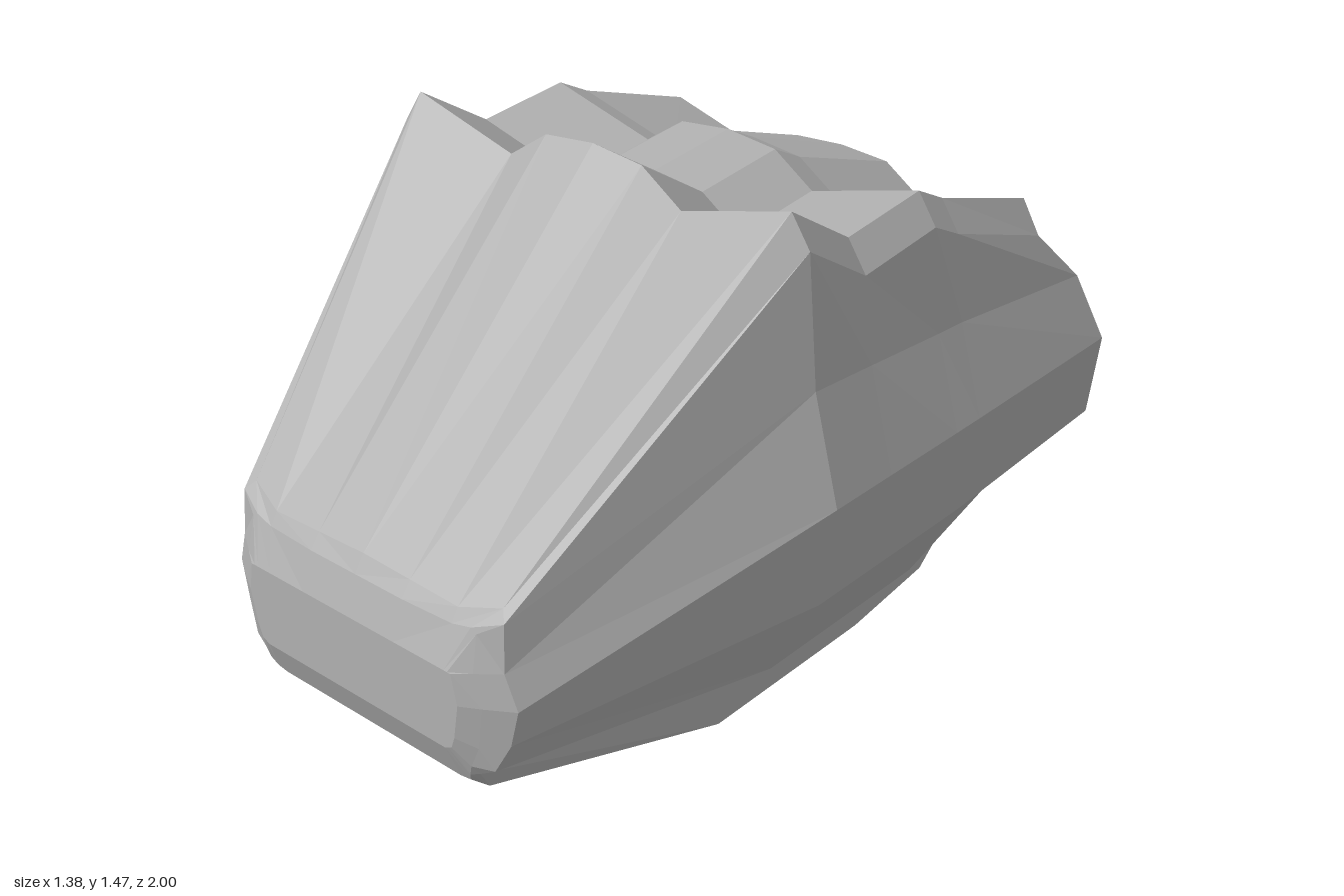
import * as THREE from 'three';

// Half cross-section, bottom centre to top centre, at the widest station
const SECTION = [
  [0, 0.03], [0.28, 0.04], [0.38, 0.065], [0.38, 0.21], [0.53, 0.305], [0.655, 0.54], [0.69, 0.805],
  [0.62, 1.07], [0.59, 1.385], [0.54, 1.46], [0.25, 1.38], [0.14, 1.455], [0, 1.47],
];

// The section moved back, with its lower and roof parts shifted in height
const station = (z, low, top) => SECTION.map(([x, y], j) =>
  [x, y + (j >= 8 ? top : j === 7 ? low * 2.4 : low), z]);

// Nose rings, from the flat front to where the sloping hood begins
const noseFace = [
  [0, 0.44], [0.25, 0.44], [0.28, 0.44], [0.29, 0.445], [0.3, 0.45], [0.31, 0.48], [0.325, 0.57],
  [0.31, 0.645], [0.3, 0.645], [0.29, 0.645], [0.25, 0.645], [0.14, 0.645], [0, 0.645],
].map(([x, y]) => [x, y, 1]);
const noseBevel = [
  [0, 0.34, 0.96], [0.28, 0.34, 0.96], [0.31, 0.345, 0.96], [0.32, 0.37, 0.97], [0.33, 0.4, 0.975],
  [0.355, 0.46, 0.975], [0.37, 0.57, 0.975], [0.35, 0.65, 0.975], [0.345, 0.735, 0.955],
  [0.33, 0.745, 0.955], [0.28, 0.735, 0.96], [0.14, 0.735, 0.967], [0, 0.735, 0.967],
];
const noseBack = [
  [0, 0.305, 0.92], [0.28, 0.305, 0.92], [0.325, 0.31, 0.92], [0.335, 0.37, 0.955], [0.38, 0.4, 0.955],
  [0.415, 0.475, 0.94], [0.435, 0.57, 0.935], [0.405, 0.655, 0.94], [0.4, 0.77, 0.93],
  [0.38, 0.79, 0.91], [0.28, 0.765, 0.94], [0.14, 0.77, 0.94], [0, 0.775, 0.94],
];
const rear = [
  [0, 0.03, -0.68], [0.28, 0.04, -0.68], [0.38, 0.065, -0.68], [0.38, 0.26, -0.93], [0.53, 0.41, -0.93],
  [0.655, 0.52, -1], [0.69, 0.76, -0.97], [0.63, 0.94, -0.91], [0.59, 1.09, -0.76],
  [0.54, 1.175, -0.76], [0.25, 1.09, -0.76], [0.14, 1.165, -0.76], [0, 1.175, -0.76],
];

const mirror = ([x, y, z]) => [-x, y, z];

function facetMesh(name, triangles, material) {
  const geometry = new THREE.BufferGeometry();
  geometry.setAttribute('position', new THREE.Float32BufferAttribute(triangles.flat(2), 3));
  geometry.computeVertexNormals();
  const mesh = new THREE.Mesh(geometry, material);
  mesh.name = name;
  return mesh;
}

// Add each triangle together with its mirror image
function addPair(list, a, b, c) {
  list.push([a, b, c], [mirror(a), mirror(c), mirror(b)]);
}

// Skin consecutive stations, front to back, over a range of section points
function loft(stations, from, to) {
  const list = [];
  for (let i = 0; i < stations.length - 1; i++) {
    for (let j = from; j < to; j++) {
      const [a, b] = [stations[i][j], stations[i][j + 1]];
      const [d, c] = [stations[i + 1][j], stations[i + 1][j + 1]];
      addPair(list, a, d, b);
      addPair(list, d, c, b);
    }
  }
  return list;
}

export function createModel() {
  const group = new THREE.Group();
  const grey = new THREE.MeshStandardMaterial({ color: 0xb0b0b0, flatShading: true });
  grey.name = 'plainGrey';

  const body = [
    noseBack,
    station(0.2, 0, 0),
    station(-0.01, -0.009, -0.13),
    station(-0.28, -0.021, -0.11),
    station(-0.38, -0.025, -0.16),
    rear,
  ];
  group.add(facetMesh('underbody', loft(body, 0, 3), grey));
  group.add(facetMesh('sides', loft(body, 3, 8), grey));
  group.add(facetMesh('hoodAndRoof', loft(body, 8, 12), grey));
  group.add(facetMesh('noseRim', loft([noseFace, noseBevel, noseBack], 0, 12), grey));

  // Flat front of the nose
  const face = [];
  for (let j = 0; j < 12; j++) addPair(face, [0, 0.55, 1], noseFace[j], noseFace[j + 1]);
  group.add(facetMesh('noseFace', face, grey));

  // Rear panel in bands across the back, closing the roof ridges above it
  const back = [];
  for (const j of [0, 1, 2, 3, 4, 5, 6, 7, 10, 11]) {
    const [low, high] = [rear[j], rear[j + 1]];
    back.push([low, mirror(low), mirror(high)], [low, mirror(high), high]);
  }
  addPair(back, rear[8], rear[10], rear[9]);
  group.add(facetMesh('rearPanel', back, grey));
  return group;
}
